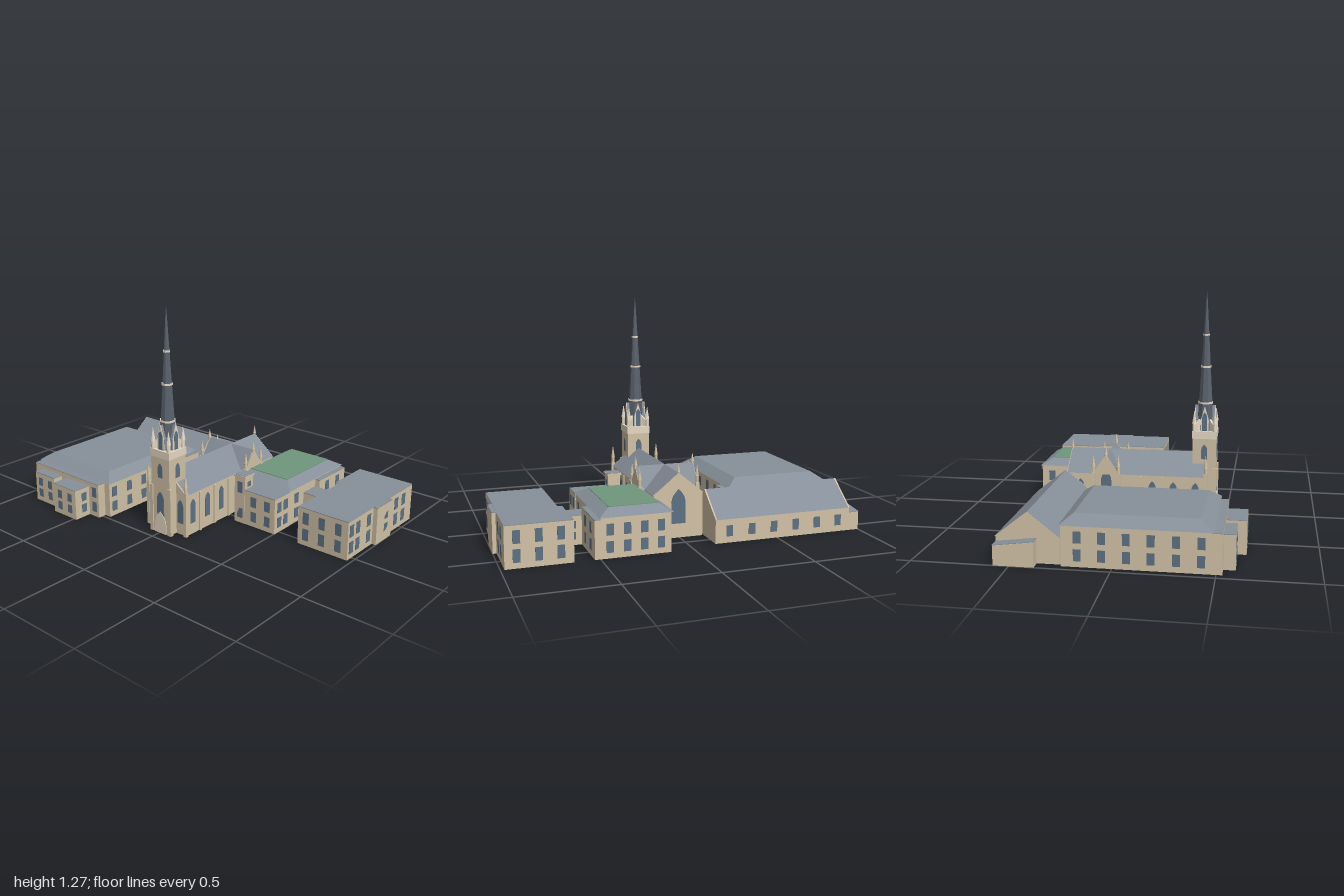
import * as THREE from 'three';
import { ConvexGeometry } from 'three/addons/geometries/ConvexGeometry.js';

const paint = (color) => new THREE.MeshStandardMaterial({ color, flatShading: true, side: THREE.DoubleSide });
const STONE = paint(0xd2c2a6), CREAM = paint(0xe6d9c4), SLATE = paint(0x87909a);
const SPIRE = paint(0x5c636e), GLASS = paint(0x5d7184), GREEN = paint(0x6f977c);
const FRONT = 0, RIGHT = Math.PI / 2, BACK = Math.PI, LEFT = -Math.PI / 2;

export function createModel() {
  const root = new THREE.Group();
  let group = root;

  const section = (name) => {
    group = new THREE.Group();
    group.name = name;
    root.add(group);
  };
  const add = (name, geo, mat) => {
    const m = new THREE.Mesh(geo, mat);
    m.name = name;
    group.add(m);
    return m;
  };
  const box = (name, x0, x1, y0, y1, z0, z1, mat = STONE) =>
    add(name, new THREE.BoxGeometry(x1 - x0, y1 - y0, z1 - z0), mat)
      .position.set((x0 + x1) / 2, (y0 + y1) / 2, (z0 + z1) / 2);
  const hull = (name, pts, mat) =>
    add(name, new ConvexGeometry(pts.map((p) => new THREE.Vector3(...p))), mat);

  // Four walls without a floor
  const walls = (name, x0, x1, z0, z1, h) => {
    const g = new THREE.CylinderGeometry(Math.SQRT1_2, Math.SQRT1_2, 1, 4, 1, true);
    g.rotateY(Math.PI / 4).scale(x1 - x0, h, z1 - z0);
    add(name, g, STONE).position.set((x0 + x1) / 2, h / 2, (z0 + z1) / 2);
  };
  // Open block under a flat roof
  const flatBlock = (name, x0, x1, z0, z1, h) => {
    walls(name + 'Walls', x0, x1, z0, z1, h - 0.003);
    box(name + 'Roof', x0, x1, h - 0.004, h, z0, z1, SLATE);
  };
  // Hipped roof with a flat top
  const hipRoof = (name, x0, x1, z0, z1, y0, y1, inset) => {
    const ring = (d, y) => [[x0 + d, y, z0 + d], [x1 - d, y, z0 + d], [x1 - d, y, z1 - d], [x0 + d, y, z1 - d]];
    hull(name, [...ring(0, y0), ...ring(inset, y1)], SLATE);
  };
  // Pitched roof with stone gable ends
  const gableRoof = (name, x0, x1, z0, z1, eave, ridge, alongX) => {
    const xm = (x0 + x1) / 2, zm = (z0 + z1) / 2;
    const tri = (t) => alongX
      ? [[t, eave, z0], [t, eave, z1], [t, ridge, zm]]
      : [[x0, eave, t], [x1, eave, t], [xm, ridge, t]];
    const [a, b] = alongX ? [x0, x1] : [z0, z1];
    hull(name + 'Roof', [...tri(a), ...tri(b)], SLATE);
    for (const [t, s] of [[a, -1], [b, 1]])
      hull(name + 'Gable', [...tri(t - s * 0.006), ...tri(t + s * 0.002)], STONE);
  };
  // Window pane standing on y, facing the given direction; optionally with a pointed arch
  const pane = (x, y, z, w, h, dir, pointed = false, mat = GLASS, name = 'window') => {
    const s = new THREE.Shape(), k = w / 2, spring = pointed ? h - w : h;
    s.moveTo(-k, 0);
    s.lineTo(k, 0);
    s.lineTo(k, spring);
    if (pointed) {
      s.quadraticCurveTo(k, spring + w * 0.6, 0, h);
      s.quadraticCurveTo(-k, spring + w * 0.6, -k, spring);
    } else s.lineTo(-k, h);
    const g = new THREE.ExtrudeGeometry(s, { depth: 0.004, bevelEnabled: false, curveSegments: 4 });
    g.translate(0, 0, -0.002);
    const m = add(name, g, mat);
    m.position.set(x, y, z);
    m.rotation.y = dir;
  };
  // Rows of windows on a wall; at = wall coordinate, list = positions along it
  const rows = (dir, at, list, ys = [0.035, 0.125], h = 0.065, w = 0.038) => {
    for (const p of list) for (const y of ys)
      dir === FRONT || dir === BACK ? pane(p, y, at, w, h, dir) : pane(at, y, p, w, h, dir);
  };
  const pinnacle = (name, x, z, y0, ySpring, y1, r, mat = STONE) => {
    add(name + 'Shaft', new THREE.CylinderGeometry(r, r, ySpring - y0, 8), mat).position.set(x, (y0 + ySpring) / 2, z);
    add(name + 'Cap', new THREE.ConeGeometry(r * 1.25, y1 - ySpring, 8), mat).position.set(x, (ySpring + y1) / 2, z);
  };

  // Large hall with its stepped front
  section('hall');
  walls('hallWalls', -0.96, -0.36, -0.25, 0.48, 0.21);
  hipRoof('hallRoof', -0.97, -0.35, -0.26, 0.49, 0.208, 0.255, 0.065);
  flatBlock('hallFront', -0.96, -0.4, 0.48, 0.53, 0.205);
  flatBlock('frontBayOuter', -0.89, -0.72, 0.53, 0.59, 0.18);
  flatBlock('frontBayInner', -0.67, -0.48, 0.53, 0.635, 0.18);
  flatBlock('hallSideBay', -0.36, -0.325, -0.26, -0.13, 0.2);
  rows(FRONT, 0.59, [-0.845, -0.76], [0.03, 0.1], 0.05, 0.035);
  rows(FRONT, 0.635, [-0.615, -0.53], [0.03, 0.1], 0.05, 0.035);
  rows(FRONT, 0.53, [-0.435], [0.03, 0.12], 0.06, 0.035);
  rows(RIGHT, -0.48, [0.57], [0.03, 0.1], 0.05, 0.035);
  rows(RIGHT, -0.36, [0.44, 0.32, 0.2, 0.08, -0.04], [0.03, 0.12], 0.06);
  rows(LEFT, -0.96, [0.43, 0.31, 0.19, 0.07, -0.05, -0.17], [0.03, 0.12], 0.06);

  // Long low rear wing
  section('rearWing');
  walls('wingWalls', -0.94, -0.14, -0.58, -0.26, 0.13);
  gableRoof('wing', -0.94, -0.14, -0.585, -0.255, 0.13, 0.26, true);
  hull('endLeanTo', [-1, -0.94].flatMap((x) => [[x, 0, -0.58], [x, 0, -0.375], [x, 0.1, -0.58], [x, 0.127, -0.375]]), STONE);
  hull('endLeanToRoof', [-1, -0.94].flatMap((x) => [[x, 0.101, -0.582], [x, 0.104, -0.582], [x, 0.128, -0.373], [x, 0.131, -0.373]]), SLATE);
  rows(BACK, -0.58, [-0.87, -0.74, -0.61, -0.48, -0.35, -0.22], [0.035], 0.06);
  rows(FRONT, -0.26, [-0.28, -0.205], [0.035], 0.065);

  // Church nave and transept
  section('church');
  const cx = 0.008;
  box('naveWalls', cx - 0.14, cx + 0.14, 0, 0.245, -0.41, 0.38);
  gableRoof('nave', cx - 0.143, cx + 0.143, -0.412, 0.38, 0.243, 0.36, false);
  box('transeptWalls', cx - 0.168, cx + 0.168, 0, 0.25, -0.255, -0.11);
  gableRoof('transept', cx - 0.17, cx + 0.17, -0.262, -0.102, 0.248, 0.36, true);
  pinnacle('naveFinial', cx, -0.41, 0.34, 0.365, 0.415, 0.007);
  for (const s of [-1, 1]) {
    const dir = s > 0 ? RIGHT : LEFT, side = cx + s * 0.14;
    for (const z of [0.325, 0.2, 0.08]) pane(side, 0.065, z, 0.042, 0.145, dir, true);
    pane(side, 0.065, -0.335, 0.042, 0.145, dir, true);
    for (const z of [0.265, 0.14, 0.015])
      box('naveButtress', side - 0.006, side + 0.008, 0, 0.235, z - 0.008, z + 0.008);
    pane(cx + s * 0.168, 0.07, -0.18, 0.06, 0.2, dir, true);
    for (const z of [-0.11, -0.253]) {
      const x = cx + s * 0.168;
      box('transeptButtress', x - 0.011, x + 0.011, 0, 0.26, z - 0.011, z + 0.011);
      pinnacle('transeptPinnacle', x, z, 0.26, 0.295, 0.365, 0.009);
    }
    pinnacle('transeptFinial', cx + s * 0.168, -0.18, 0.34, 0.365, 0.415, 0.008);
    box('frontButtress', side - 0.01, side + 0.01, 0, 0.265, 0.373, 0.393);
    pinnacle('frontPinnacle', side, 0.383, 0.265, 0.295, 0.37, 0.009);
    pane(cx + s * 0.1, 0.07, 0.383, 0.042, 0.14, FRONT, true);
  }
  pane(cx, 0.08, -0.413, 0.08, 0.19, BACK, true);

  // Bell tower
  section('tower');
  const cz = 0.368, r = 0.067;
  box('towerBody', cx - r, cx + r, 0, 0.452, cz - r, cz + r);
  box('towerParapet', cx - r - 0.003, cx + r + 0.003, 0.45, 0.492, cz - r - 0.003, cz + r + 0.003, CREAM);
  pane(cx, 0, cz + r + 0.004, 0.085, 0.13, FRONT, true, CREAM, 'doorway');
  pane(cx, 0.105, cz + r + 0.002, 0.05, 0.145, FRONT, true);
  for (const dir of [FRONT, RIGHT, BACK, LEFT]) {
    const sx = Math.sin(dir), sz = Math.cos(dir);
    pane(cx + sx * r, 0.332, cz + sz * r, 0.034, 0.085, dir, true);
    // Dormer against the foot of the spire
    const at = (side, y, out) => [cx + sx * out + sz * side, y, cz + sz * out - sx * side];
    const gable = (out, k) => [at(-k, 0.49, out), at(k, 0.49, out), at(k, 0.555, out), at(-k, 0.555, out), at(0, 0.635, out)];
    hull('dormerRoof', [...gable(0.01, 0.024), ...gable(0.055, 0.024)], SLATE);
    hull('dormerFace', [...gable(0.055, 0.023), ...gable(0.059, 0.023)], CREAM);
    const [wx, , wz] = at(0, 0, 0.06);
    pane(wx, 0.495, wz, 0.028, 0.105, dir, true);
  }
  for (const sx of [-1, 1]) {
    box('towerButtress', cx + sx * r - 0.012, cx + sx * r + 0.012, 0, 0.28, cz + r - 0.014, cz + r + 0.007);
    for (const sz of [-1, 1]) {
      const x = cx + sx * 0.058, z = cz + sz * 0.058;
      pinnacle('towerPinnacle', x, z, 0.47, 0.535, 0.615, 0.011, CREAM);
      // Sloping brace from pinnacle to spire
      hull('cornerBrace', [-0.005, 0.005].flatMap((d) => [
        [x + d * sx, 0.49, z - d * sz], [x + d * sx, 0.52, z - d * sz],
        [cx + sx * 0.02 + d * sx, 0.49, cz + sz * 0.02 - d * sz], [cx + sx * 0.02 + d * sx, 0.57, cz + sz * 0.02 - d * sz]]), CREAM);
    }
  }

  // Octagonal spire with stone bands
  section('spire');
  const ring = (name, rTop, rBottom, y0, y1, mat) => {
    const g = new THREE.CylinderGeometry(rTop, rBottom, y1 - y0, 8);
    g.rotateY(Math.PI / 8);
    add(name, g, mat).position.set(cx, (y0 + y1) / 2, cz);
  };
  ring('spireBody', 0.005, 0.051, 0.48, 1.22, SPIRE);
  ring('spireTip', 0.001, 0.005, 1.22, 1.27, SPIRE);
  for (const [y, k] of [[0.65, 0.045], [0.856, 0.032], [1.036, 0.02]]) ring('spireBand', k, k, y - 0.005, y + 0.005, CREAM);

  // House with green roof terrace, front annex and stair turret
  section('house');
  walls('houseWalls', 0.125, 0.5, -0.63, -0.1, 0.215);
  hipRoof('houseRoof', 0.113, 0.507, -0.637, -0.09, 0.213, 0.25, 0.063);
  box('roofTerrace', 0.178, 0.442, 0.249, 0.253, -0.573, -0.154, GREEN);
  flatBlock('houseSideBay', 0.5, 0.53, -0.63, -0.36, 0.205);
  flatBlock('houseAnnex', 0.218, 0.503, -0.1, 0.043, 0.21);
  box('stairTurret', 0.222, 0.293, 0, 0.28, -0.028, 0.045);
  box('turretCap', 0.216, 0.299, 0.278, 0.29, -0.034, 0.049, STONE);
  box('turretRoof', 0.22, 0.295, 0.289, 0.292, -0.03, 0.046, SLATE);
  pane(0.258, 0.185, 0.045, 0.036, 0.068, FRONT);
  pane(0.293, 0.222, 0.008, 0.03, 0.03, RIGHT);
  rows(FRONT, 0.043, [0.258, 0.355, 0.45], [0.03, 0.12], 0.06);
  rows(RIGHT, 0.503, [0, -0.06], [0.03, 0.12], 0.06);
  rows(RIGHT, 0.5, [-0.17], [0.03, 0.12], 0.06);
  rows(RIGHT, 0.53, [-0.44, -0.55], [0.03, 0.12], 0.06);
  rows(BACK, -0.63, [0.18, 0.27, 0.36, 0.45], [0.03, 0.12], 0.06);
  rows(LEFT, 0.125, [-0.48, -0.57], [0.03, 0.12], 0.06);

  // Low link and flat-roofed end block
  section('endBlock');
  flatBlock('link', 0.5, 0.66, -0.36, -0.24, 0.16);
  rows(FRONT, -0.24, [0.58], [0.03, 0.09], 0.04, 0.035);
  rows(BACK, -0.36, [0.58], [0.03, 0.09], 0.04, 0.035);
  flatBlock('endFront', 0.66, 0.975, -0.365, 0.043, 0.22);
  flatBlock('endRear', 0.635, 0.98, -0.632, -0.365, 0.22);
  flatBlock('endSideBay', 0.975, 1, -0.37, -0.21, 0.219);
  rows(FRONT, 0.043, [0.71, 0.812, 0.915], [0.03, 0.125], 0.068);
  rows(RIGHT, 0.975, [0.008, -0.055, -0.165], [0.03, 0.125], 0.068);
  rows(RIGHT, 0.998, [-0.31], [0.03, 0.125], 0.068);
  rows(RIGHT, 0.98, [-0.453, -0.535], [0.03, 0.125], 0.068);
  rows(BACK, -0.632, [0.7, 0.81, 0.92], [0.03, 0.125], 0.068);
  rows(LEFT, 0.66, [-0.02, -0.14], [0.03, 0.125], 0.068);
  rows(LEFT, 0.635, [-0.45, -0.55], [0.03, 0.125], 0.068);

  return root;
}
